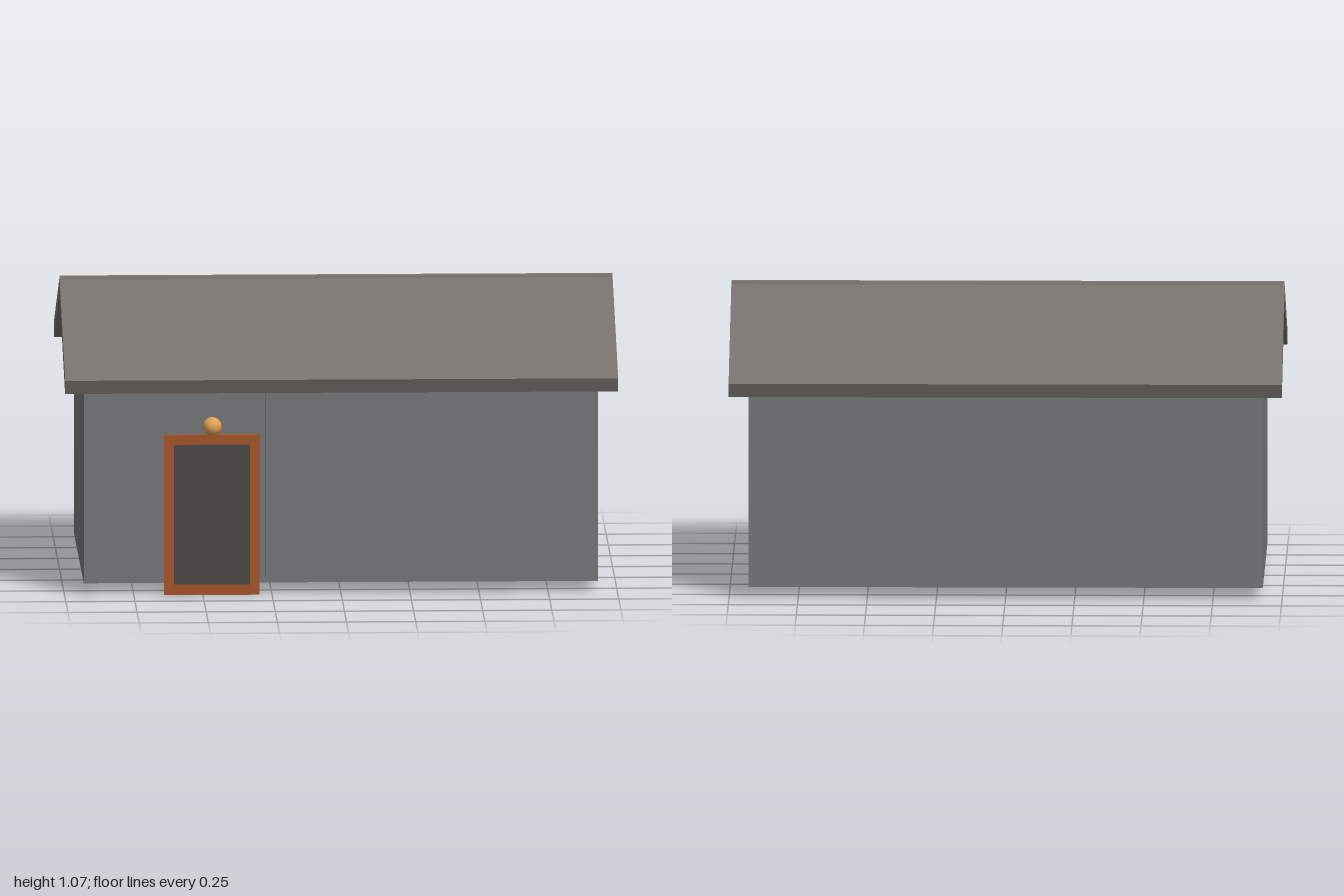
import * as THREE from 'three';

const paint = (color) => new THREE.MeshStandardMaterial({ color });

export function createModel() {
  const group = new THREE.Group();
  const wall = paint(0x75777a);
  const roof = paint(0x77726d);
  const trim = paint(0xa8552a);
  const panel = paint(0x4c4848);
  const glow = paint(0xe0a050);

  // Box given by its low and high corners
  function box(name, mat, [x0, y0, z0], [x1, y1, z1]) {
    const mesh = new THREE.Mesh(new THREE.BoxGeometry(x1 - x0, y1 - y0, z1 - z0), mat);
    mesh.position.set((x0 + x1) / 2, (y0 + y1) / 2, (z0 + z1) / 2);
    mesh.name = name;
    group.add(mesh);
  }

  // Main hall
  box('walls', wall, [-0.93, 0.04, -0.58], [0.93, 0.78, 0.58]);

  // Vertical battens along the front wall
  for (let i = -3; i <= 3; i++) {
    const x = i * 0.256;
    box('batten', wall, [x - 0.016, 0.06, 0.575], [x + 0.016, 0.76, 0.592]);
  }

  // Two tilted roof slabs that cross slightly at the ridge; the gables stay open
  const tilt = 0.38, length = 0.745, thickness = 0.055;
  for (const side of [1, -1]) {
    const slab = new THREE.Group();
    slab.name = side > 0 ? 'frontRoof' : 'backRoof';
    const mesh = new THREE.Mesh(new THREE.BoxGeometry(2, thickness, length), roof);
    mesh.name = 'roofSlab';
    // The slab hangs from its upper eave edge
    mesh.position.set(0, -thickness / 2, -side * length / 2);
    slab.add(mesh);
    slab.position.set(0, 0.797, side * 0.68);
    slab.rotation.x = side * tilt;
    group.add(slab);
  }

  // Door with its frame
  box('doorFrame', trim, [-0.64, 0, 0.59], [-0.295, 0.585, 0.61]);
  box('door', panel, [-0.605, 0.04, 0.6], [-0.33, 0.55, 0.62]);

  // Lamp above the door
  const lamp = new THREE.Mesh(new THREE.SphereGeometry(0.034, 24, 16), glow);
  lamp.name = 'lamp';
  lamp.position.set(-0.467, 0.62, 0.63);
  group.add(lamp);

  return group;
}
